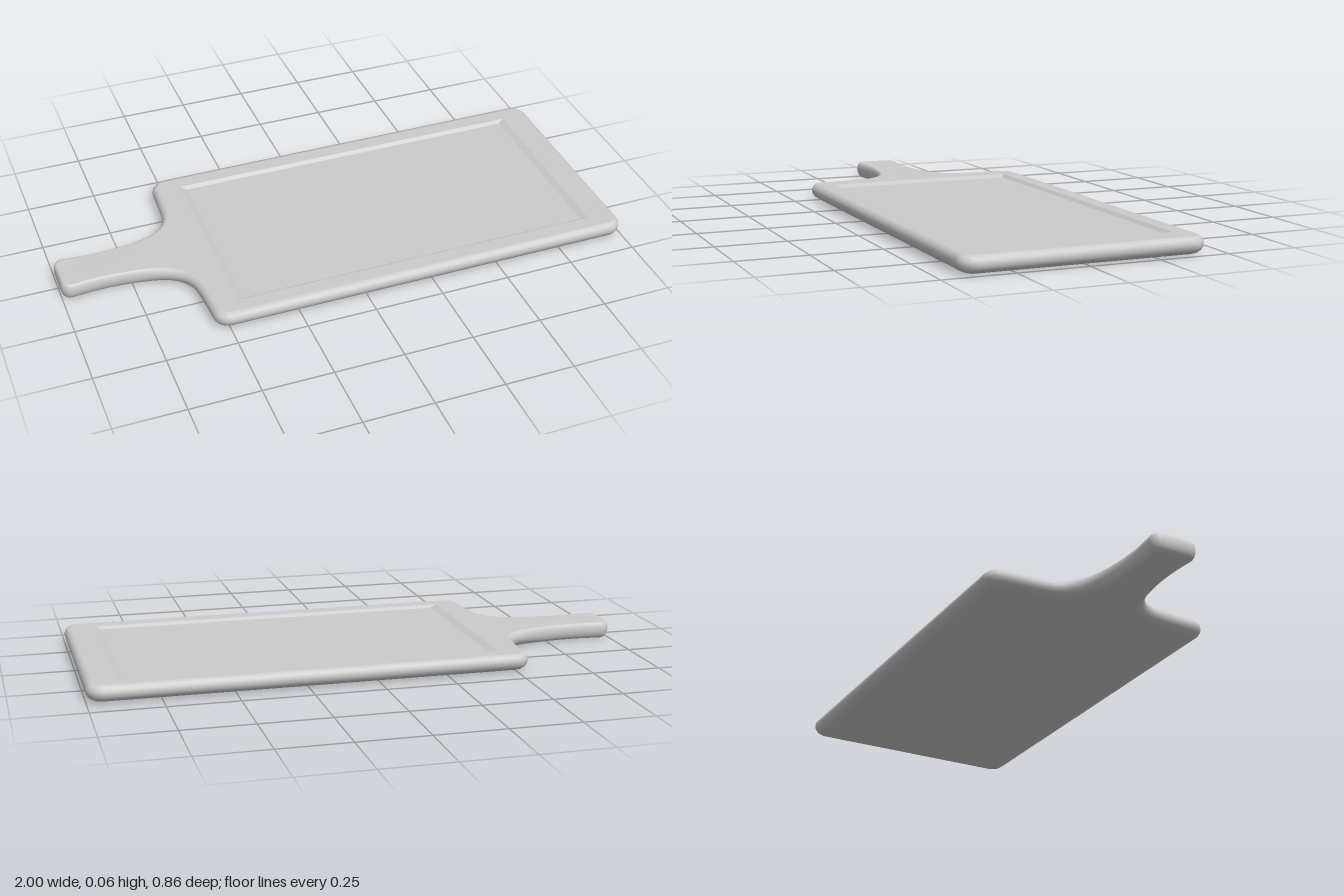
import * as THREE from 'three';

const TOP = 0.063;

// Plan outline (x, s) with s = -z, counter-clockwise; one half is drawn and mirrored
function outline() {
  const r = 0.055, V = (x, y) => new THREE.Vector2(x, y);
  const half = new THREE.Shape();
  half.moveTo(1, 0.43 - r);
  half.absarc(1 - r, 0.43 - r, r, 0, Math.PI / 2);
  half.absarc(-0.55 + r, 0.43 - r, r, Math.PI / 2, Math.PI);
  half.splineThru([
    V(-0.553, 0.31), V(-0.557, 0.25), V(-0.566, 0.195), V(-0.59, 0.15), V(-0.635, 0.115),
    V(-0.7, 0.092), V(-0.78, 0.08), V(-0.86, 0.077), V(-0.92, 0.081), V(-0.965, 0.085),
  ]);
  half.absarc(-0.965, 0.05, 0.035, Math.PI / 2, Math.PI);
  const pts = half.getPoints(7).filter((p, i, a) => i === 0 || p.distanceTo(a[i - 1]) > 1e-5);
  return [...pts, ...pts.map((p) => V(p.x, -p.y)).reverse()];
}

// Move every outline point inwards; the narrow handle has a tighter edge rounding
function inset(pts, d) {
  const n = pts.length;
  return pts.map((p, i) => {
    const t = pts[(i + 1) % n].clone().sub(p).normalize()
      .add(p.clone().sub(pts[(i + n - 1) % n]).normalize()).normalize();
    const k = d * (0.5 + 0.5 * THREE.MathUtils.smoothstep(p.x, -0.75, -0.55));
    return new THREE.Vector2(p.x - t.y * k, p.y + t.x * k);
  });
}

const rectangle = (x0, x1, s) =>
  [[x0, -s], [x1, -s], [x1, s], [x0, s]].map(([x, y]) => new THREE.Vector2(x, y));

// Quads joining successive rings of n points
function bands(rings, n) {
  const index = [];
  for (let k = 0; k < rings - 1; k++) {
    for (let i = 0; i < n; i++) {
      const a = k * n + i, b = k * n + (i + 1) % n;
      index.push(a, b, b + n, a, b + n, a + n);
    }
  }
  return index;
}

function surface(points, index) {
  const geo = new THREE.BufferGeometry();
  geo.setAttribute('position', new THREE.Float32BufferAttribute(points, 3));
  geo.setIndex(index);
  return geo;
}

const place = (ring, y) => ring.flatMap((p) => [p.x, y, -p.y]);

export function createModel() {
  const group = new THREE.Group();
  group.name = 'servingBoard';
  const material = new THREE.MeshStandardMaterial({ color: 0xcccccc });

  // Board and handle: rounded edge profile as [inset, height]
  const profile = [
    [0.05, 0], [0.034, 0.002], [0.02, 0.007], [0.009, 0.015], [0.002, 0.026], [0, 0.037],
    [0.002, 0.047], [0.007, 0.055], [0.014, 0.061], [0.023, TOP],
  ];
  const base = outline(), n = base.length;
  const rings = profile.map(([d]) => inset(base, d));
  const opening = rectangle(-0.45, 0.89, 0.355);
  const points = rings.flatMap((ring, k) => place(ring, profile[k][1]));
  points.push(...place([...opening].reverse(), TOP));
  const index = bands(rings.length, n);

  // Flat underside, and the flat rim around the recess
  for (const [a, b, c] of THREE.ShapeUtils.triangulateShape([...rings[0]], [])) index.push(a, c, b);
  const last = (rings.length - 1) * n;
  const rim = THREE.ShapeUtils.triangulateShape([...rings[rings.length - 1]], [[...opening].reverse()]);
  for (const face of rim) index.push(...face.map((i) => last + i));
  const body = surface(points, index);
  body.computeVertexNormals();
  const board = new THREE.Mesh(body, material);
  board.name = 'boardWithHandle';
  group.add(board);

  // Shallow recess: sloping walls and a flat floor with crisp edges
  const floor = rectangle(-0.425, 0.867, 0.342);
  const tray = surface(
    [...place(opening, TOP), ...place(floor, TOP - 0.01)],
    [...bands(2, 4), 4, 5, 6, 4, 6, 7],
  ).toNonIndexed();
  tray.computeVertexNormals();
  const recess = new THREE.Mesh(tray, material);
  recess.name = 'recess';
  group.add(recess);

  return group;
}
